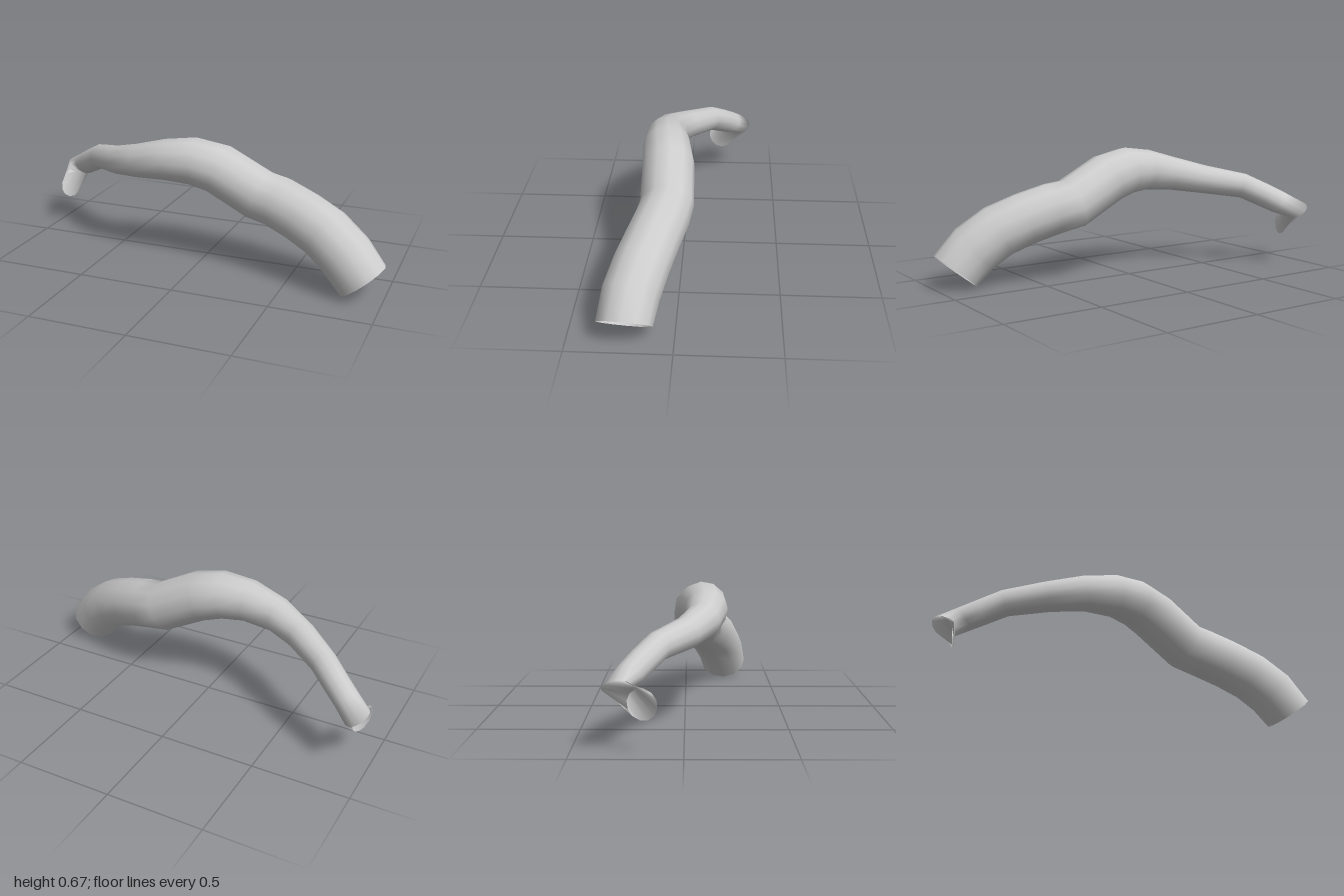
import * as THREE from 'three';

const SIDES = 12;

// Ring stations along the pipe: centre x, y, z and radius
const STATIONS = [
  [0.895, 0.097, 0.23, 0.133],
  [0.8, 0.205, 0.205, 0.138],
  [0.685, 0.29, 0.165, 0.137],
  [0.555, 0.345, 0.125, 0.135],
  [0.415, 0.39, 0.085, 0.134],
  [0.31, 0.41, 0.07, 0.134],
  [0.09, 0.525, 0.075, 0.133],
  [-0.04, 0.555, 0.092, 0.126],
  [-0.185, 0.55, 0.105, 0.11],
  [-0.355, 0.52, 0.085, 0.091],
  [-0.515, 0.485, 0.01, 0.078],
  [-0.69, 0.45, -0.12, 0.068],
  [-0.79, 0.395, -0.19, 0.066],
  [-0.86, 0.355, -0.235, 0.065],
  [-0.935, 0.315, -0.29, 0.067],
  [-0.928, 0.235, -0.18, 0.073],
];

// Rings whose facing does not simply follow the path
const FACINGS = {
  0: [-0.63, 0.77, -0.06],
  13: [-0.7, -0.6, -0.35],
  14: [-0.55, -0.8, 0.15],
  15: [-0.93, -0.08, -0.35],
};

function sweptPipe(stations, facings) {
  const centres = stations.map(([x, y, z]) => new THREE.Vector3(x, y, z));
  const last = centres.length - 1;
  const positions = [];
  const indices = [];
  const u = new THREE.Vector3(0, 0, 1);

  centres.forEach((centre, i) => {
    const t = facings[i]
      ? new THREE.Vector3(...facings[i])
      : centres[Math.min(i + 1, last)].clone().sub(centres[Math.max(i - 1, 0)]);
    t.normalize();
    // Carry the side direction along so the rings do not twist
    u.addScaledVector(t, -u.dot(t)).normalize();
    const v = t.clone().cross(u);
    for (let j = 0; j < SIDES; j++) {
      const a = (j / SIDES) * Math.PI * 2;
      const p = centre.clone()
        .addScaledVector(u, Math.cos(a) * stations[i][3])
        .addScaledVector(v, Math.sin(a) * stations[i][3]);
      positions.push(p.x, p.y, p.z);
      if (i < last) {
        const k = (j + 1) % SIDES;
        const a0 = i * SIDES + j, b0 = i * SIDES + k;
        indices.push(a0, b0, a0 + SIDES, b0, b0 + SIDES, a0 + SIDES);
      }
    }
  });

  const geometry = new THREE.BufferGeometry();
  geometry.setAttribute('position', new THREE.Float32BufferAttribute(positions, 3));
  geometry.setIndex(indices);
  geometry.computeVertexNormals();
  return geometry;
}

export function createModel() {
  const group = new THREE.Group();
  group.name = 'bentPipe';
  const material = new THREE.MeshStandardMaterial({ color: 0xcccccc, side: THREE.DoubleSide });
  material.name = 'light grey';

  // Open-ended tapering pipe with a hooked narrow end
  const pipe = new THREE.Mesh(sweptPipe(STATIONS, FACINGS), material);
  pipe.name = 'pipe';
  group.add(pipe);
  return group;
}
